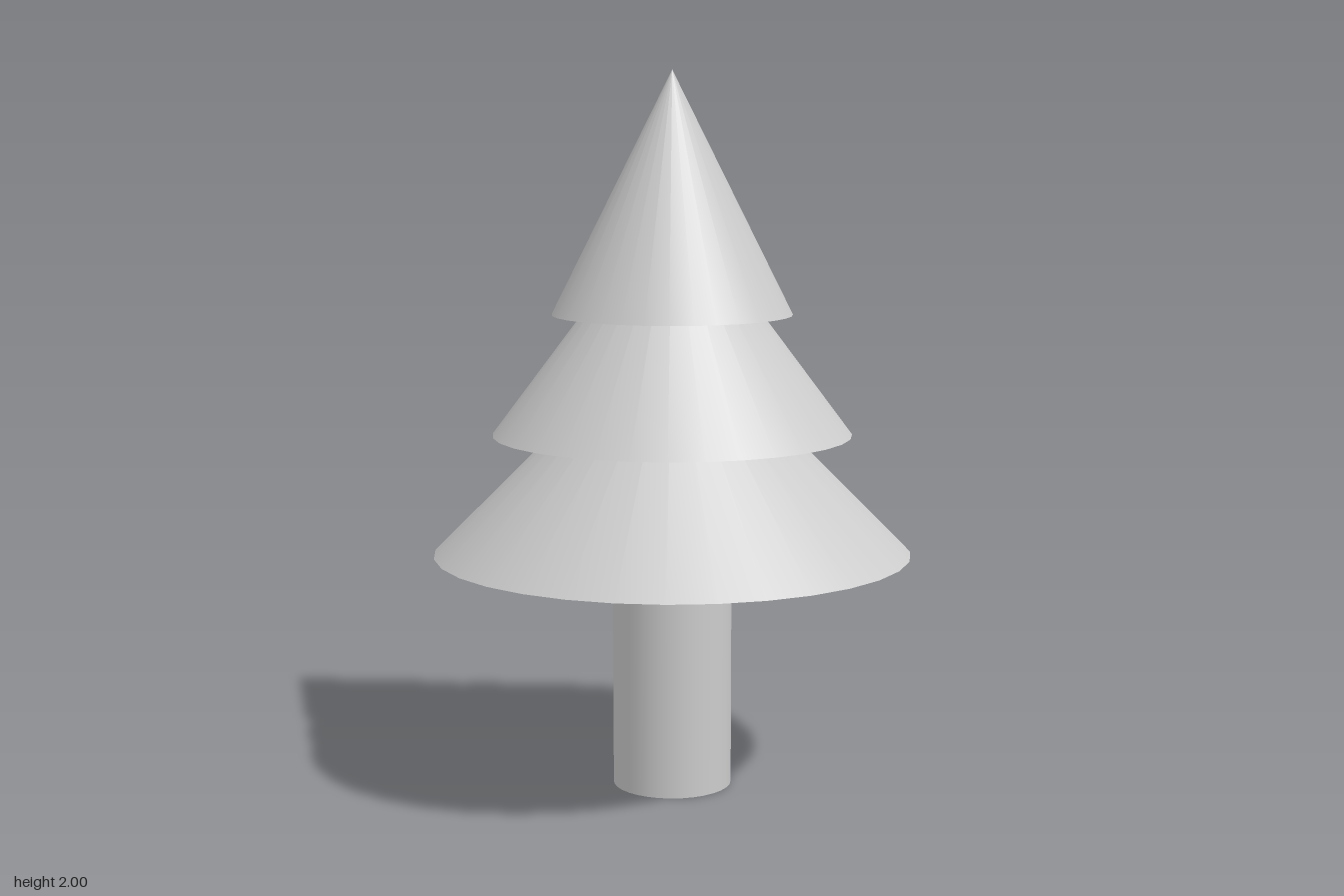
import * as THREE from 'three';

const SEGMENTS = 32;
const U = 1 / 3; // tier spacing

export function createModel() {
  const tree = new THREE.Group();
  tree.name = 'tree';
  const material = new THREE.MeshStandardMaterial({ color: 0xcccccc });

  const add = (name, geometry, y) => {
    const mesh = new THREE.Mesh(geometry, material);
    mesh.name = name;
    mesh.position.y = y;
    tree.add(mesh);
  };

  // Trunk, standing on the ground
  add('trunk', new THREE.CylinderGeometry(U / 2, U / 2, 2 * U, SEGMENTS), U);

  // Three equally tall, overlapping cones that narrow upwards
  ['lowerFoliage', 'middleFoliage', 'upperFoliage'].forEach((name, i) => {
    const radius = (2 - i / 2) * U;
    add(name, new THREE.ConeGeometry(radius, 2 * U, SEGMENTS), (3 + i) * U);
  });

  // Upper tier is slightly narrower than the even taper
  tree.getObjectByName('upperFoliage').geometry = new THREE.ConeGeometry(U, 2 * U, SEGMENTS);

  return tree;
}
